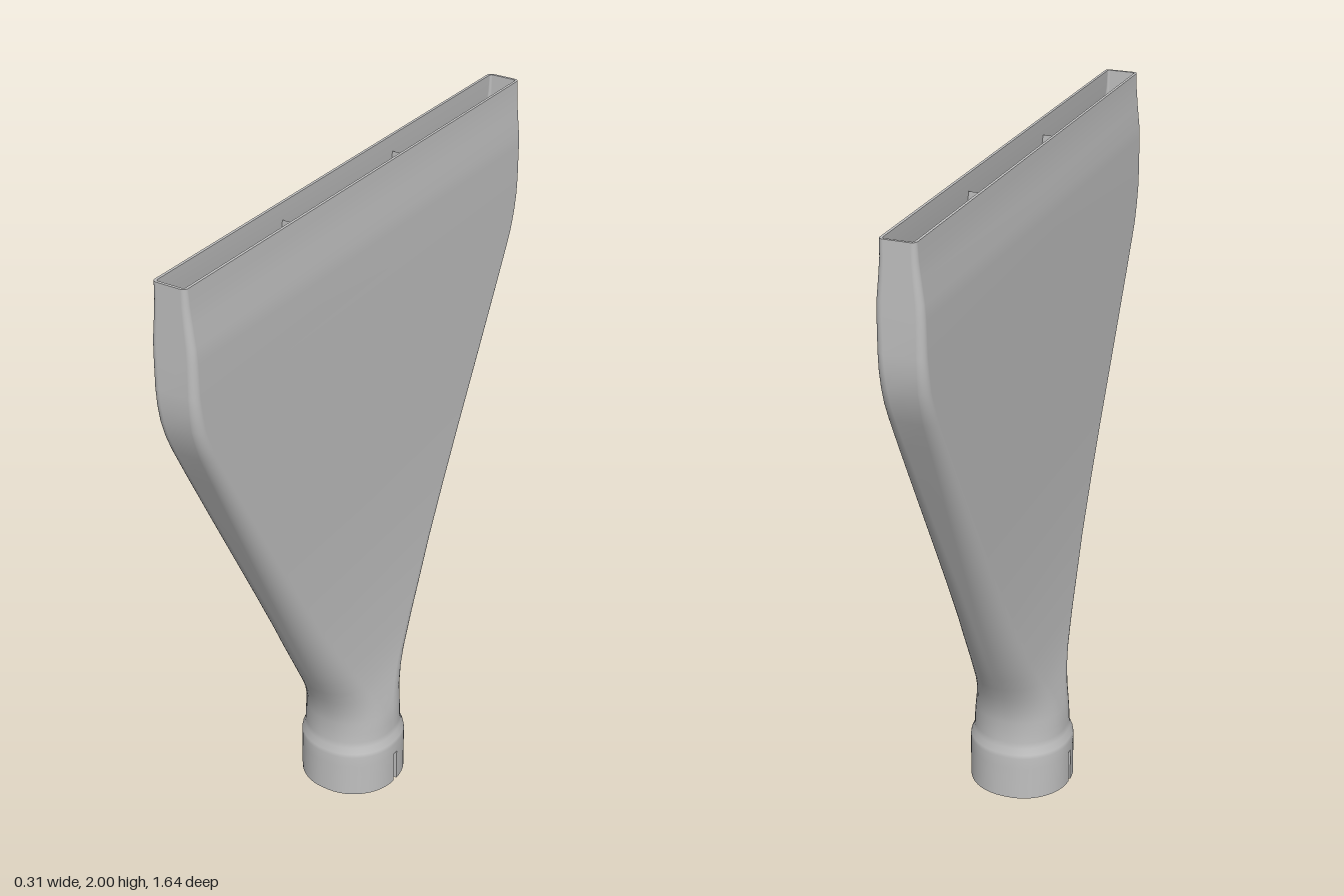
import * as THREE from 'three';

const CORNER = 13;          // points per rounded corner
const SLOT_TOP = 0.105;
const SLOT_HALF = 0.008;

// Rows: height, half width (x), half depth (z), corner radius
const BODY = [
  [0.14, 0.155, 0.155, 0.147], [0.152, 0.153, 0.153, 0.145], [0.172, 0.144, 0.147, 0.138],
  [0.19, 0.141, 0.145, 0.135], [0.22, 0.14, 0.145, 0.134], [0.26, 0.135, 0.147, 0.13],
  [0.3, 0.126, 0.154, 0.122], [0.35, 0.115, 0.171, 0.111], [0.4, 0.106, 0.196, 0.102],
  [0.45, 0.1, 0.223, 0.094], [0.5, 0.095, 0.25, 0.088], [0.6, 0.088, 0.303, 0.078],
  [0.7, 0.082, 0.355, 0.071], [0.85, 0.077, 0.434, 0.062], [1, 0.074, 0.513, 0.054],
  [1.2, 0.072, 0.618, 0.045], [1.4, 0.07, 0.722, 0.036], [1.5, 0.069, 0.773, 0.032],
  [1.55, 0.069, 0.794, 0.029], [1.6, 0.068, 0.81, 0.027], [1.65, 0.068, 0.818, 0.025],
  [1.7, 0.067, 0.822, 0.023], [1.8, 0.066, 0.822, 0.021], [1.84, 0.064, 0.822, 0.02],
  [1.9, 0.057, 0.822, 0.018], [1.95, 0.052, 0.822, 0.016], [2, 0.05, 0.822, 0.014],
];
const COLLAR = [[0, 0.155, 0.155, 0.147], [SLOT_TOP, 0.155, 0.155, 0.147]];
const OUTER = [...COLLAR, ...BODY];

// Inner wall: plain socket, a small step, then the outer shape less its thickness
const inset = ([y, x, z, r], t) => [y, x - t, z - t, Math.max(r - t, 0.004)];
const BORE = [[0, 0.143, 0.143, 0.135], [SLOT_TOP, 0.143, 0.143, 0.135], [0.13, 0.143, 0.143, 0.135]];
const PASSAGE = [[0.13, 0.13, 0.133, 0.125], ...BODY.slice(3).map((row) =>
  inset(row, row[0] > 1.85 ? 0.008 : 0.011))];

function ring([y, hx, hz, r]) {
  const pts = [];
  const signs = [[1, 1], [-1, 1], [-1, -1], [1, -1]];
  signs.forEach(([sx, sz], k) => {
    for (let i = 0; i < CORNER; i++) {
      const a = (k + i / (CORNER - 1)) * Math.PI / 2;
      pts.push(sx * (hx - r) + r * Math.cos(a), y, sz * (hz - r) + r * Math.sin(a));
    }
  });
  return pts;
}

function makeGeometry(positions, index) {
  const g = new THREE.BufferGeometry();
  g.setAttribute('position', new THREE.Float32BufferAttribute(positions, 3));
  g.setIndex(index);
  g.computeVertexNormals();
  return g;
}

// Skin through the rows; the two side strips below slotTop are left open
function loft(rows, inward = false, slotTop = -1) {
  const n = CORNER * 4;
  const index = [];
  for (let j = 0; j < rows.length - 1; j++) {
    for (let i = 0; i < n; i++) {
      const sideStrip = i === 2 * CORNER - 1 || i === n - 1;
      if (sideStrip && rows[j + 1][0] <= slotTop) continue;
      const a = j * n + i, b = j * n + (i + 1) % n, c = a + n, d = b + n;
      if (inward) index.push(a, b, c, b, d, c);
      else index.push(a, c, b, b, c, d);
    }
  }
  return makeGeometry(rows.flatMap(ring), index);
}

// Guide vane: a thin sheet at one third of the passage depth
function vane(side) {
  const rows = PASSAGE.filter(([y]) => y > 0.28 && y < 1.99);
  const positions = [], index = [];
  rows.forEach(([y, hx, hz], j) => {
    positions.push(-hx, y, side * hz / 3, hx, y, side * hz / 3);
    if (j) {
      const a = 2 * j - 2;
      index.push(a, a + 1, a + 2, a + 1, a + 3, a + 2);
    }
  });
  return makeGeometry(positions, index);
}

export function createModel() {
  const group = new THREE.Group();
  const grey = new THREE.MeshStandardMaterial({ color: 0xc0c0c0, side: THREE.DoubleSide });
  grey.name = 'light grey';
  const add = (name, geometry) => {
    const mesh = new THREE.Mesh(geometry, grey);
    mesh.name = name;
    group.add(mesh);
    return mesh;
  };

  // Shell
  add('outerShell', loft(OUTER, false, SLOT_TOP));
  add('socketBore', loft(BORE, true, SLOT_TOP));
  add('innerPassage', loft(PASSAGE, true));

  // Rims and the step inside the socket
  add('mouthRim', loft([OUTER[OUTER.length - 1], PASSAGE[PASSAGE.length - 1]]));
  add('socketRim', loft([OUTER[0], BORE[0]], true, 0));
  add('socketStep', loft([BORE[2], PASSAGE[0]], true));

  for (const side of [-1, 1]) {
    add('guideVane', vane(side));
    // Cut faces of the slot on this side
    for (const edge of [-1, 1]) {
      const wall = add('slotWall', new THREE.PlaneGeometry(0.012, SLOT_TOP));
      wall.position.set(side * 0.149, SLOT_TOP / 2, edge * SLOT_HALF);
      if (edge > 0) wall.rotation.y = Math.PI;
    }
    const top = add('slotTop', new THREE.PlaneGeometry(0.012, SLOT_HALF * 2));
    top.position.set(side * 0.149, SLOT_TOP, 0);
    top.rotation.x = Math.PI / 2;
  }
  return group;
}
